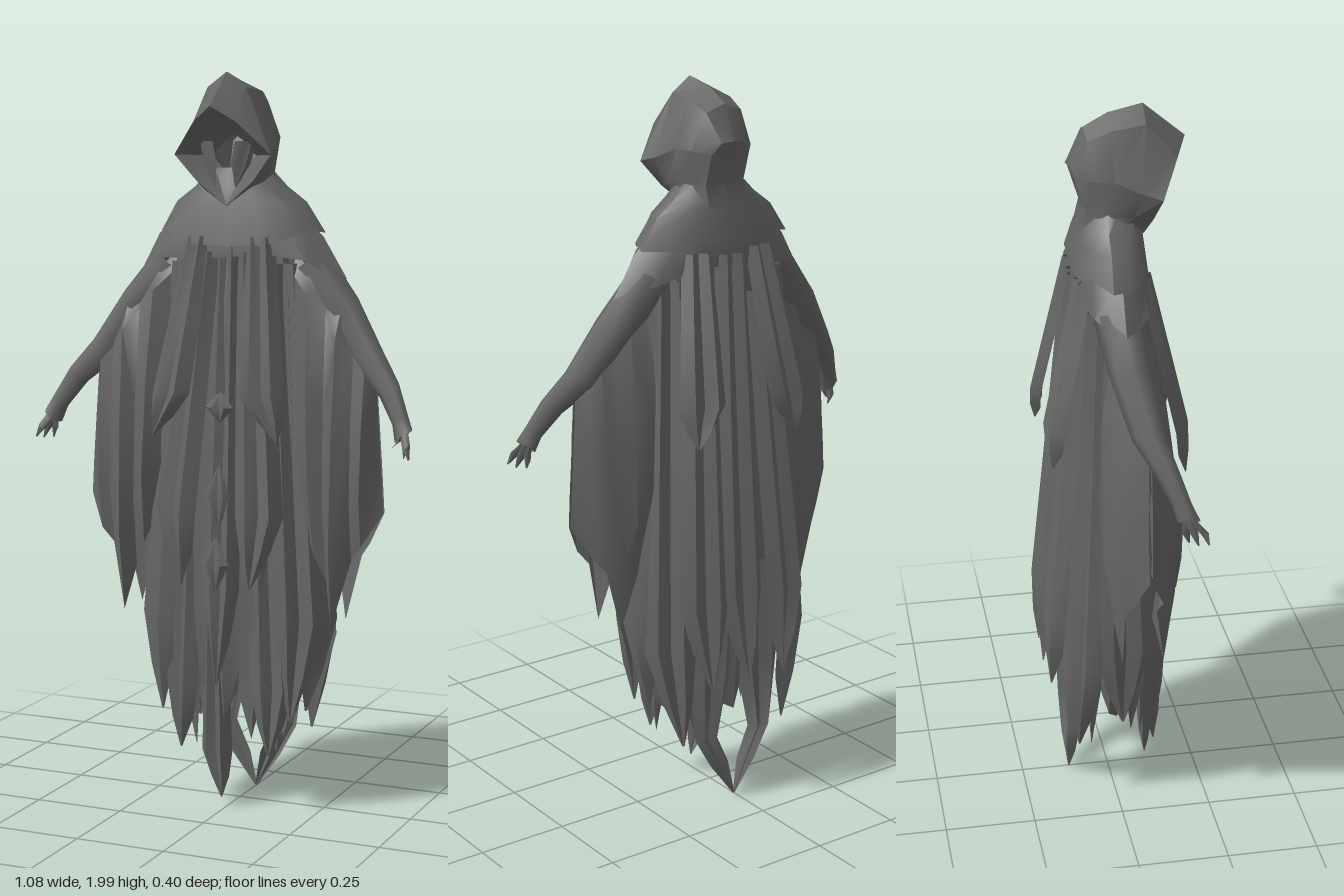
import * as THREE from 'three';
import { toCreasedNormals } from 'three/addons/utils/BufferGeometryUtils.js';

const cloth = new THREE.MeshStandardMaterial({ color: 0x666666, side: THREE.DoubleSide });
cloth.name = 'charcoal cloth';
const { lerp } = THREE.MathUtils;

// Surface through rows of [x, y, z] points; closed joins each row's ends
function sheet(rows, closed = false, crease = 0.7) {
  const n = rows[0].length, index = [];
  for (let r = 0; r < rows.length - 1; r++) {
    for (let c = 0; c < (closed ? n : n - 1); c++) {
      const a = r * n + c, b = r * n + (c + 1) % n;
      index.push(a, a + n, b, b, a + n, b + n);
    }
  }
  const g = new THREE.BufferGeometry();
  g.setAttribute('position', new THREE.Float32BufferAttribute(rows.flat(2), 3));
  g.setIndex(index);
  return toCreasedNormals(g, crease);
}

// Hanging cloth: path of [x, y, z, halfWidth], pleated across, turned by yaw
function panel(path, yaw = 0, fold = 0.018) {
  const pleat = [-1, 0.5, -0.3, 0.7, -1];
  return sheet(path.map(([x, y, z, w]) => pleat.map((p, i) => {
    const u = (i / 2 - 1) * w, d = p * fold * Math.min(1, w / 0.04);
    return [x + u * Math.cos(yaw) + d * Math.sin(yaw), y, z - u * Math.sin(yaw) + d * Math.cos(yaw)];
  })));
}

// Strip that widens as it falls, then narrows to a torn tip
function strip(xTop, xLow, xTip, yTop, yTip, zTop, zLow, w, yaw) {
  const at = (t, width) => {
    const k = Math.min(1, t / 0.78), end = Math.max(0, (t - 0.78) / 0.22);
    return [lerp(lerp(xTop, xLow, k), xTip, end), lerp(yTop, yTip, t), lerp(zTop, zLow, k), w * width];
  };
  return panel([at(0, 0.65), at(0.4, 0.85), at(0.78, 1), at(0.9, 0.6), at(1, 0.05)], yaw);
}

// Elliptical rings [y, rx, rz, pleat]; hem(angle, i) shifts the last ring in y
function rings(list, n, hem) {
  return sheet(list.map(([y, rx, rz, pleat], r) => Array.from({ length: n }, (_, i) => {
    const a = (i / n) * Math.PI * 2, k = 1 + (i % 2 ? -pleat : pleat);
    const dy = r === list.length - 1 ? hem(a, i) : 0;
    return [Math.sin(a) * rx * k, y + dy, Math.cos(a) * rz * k];
  })), true);
}

// Limb with elliptical sections along [x, y, z, r], on side s
function limb(s, path, n = 7) {
  return sheet(path.map(([x, y, z, r]) => Array.from({ length: n }, (_, i) => {
    const a = (i / n) * Math.PI * 2;
    return [s * (x + Math.cos(a) * r * 0.75), y + Math.cos(a) * r * 0.6, z + Math.sin(a) * r];
  })), true, 1.2);
}

// Hood from half sections, each running from crown to neck
function hoodGeometry() {
  const rim = [[0, 1.91, 0.2], [0.06, 1.87, 0.17], [0.138, 1.785, 0.12], [0.08, 1.715, 0.105], [0, 1.65, 0.095]];
  const back = [[0, 1.855, -0.105], [0.035, 1.85, -0.1], [0.06, 1.82, -0.09], [0.06, 1.74, -0.065], [0.06, 1.68, -0.08]];
  const inset = (k, pull) => rim.map(([x, y, z]) => [x * k, lerp(1.78, y, k), lerp(0.04, z, pull)]);
  const halves = [
    inset(0.45, 0), inset(0.78, 0.7), rim,
    [[0, 2.0, 0.09], [0.055, 1.96, 0.09], [0.125, 1.8, 0.07], [0.1, 1.73, 0.05], [0.07, 1.68, 0.05]],
    [[0, 1.98, 0], [0.065, 1.95, 0], [0.11, 1.83, 0], [0.1, 1.74, 0], [0.1, 1.68, 0]],
    [[0, 1.945, -0.065], [0.055, 1.925, -0.06], [0.095, 1.83, -0.05], [0.08, 1.74, -0.04], [0.09, 1.68, -0.05]],
    back, back.map(([, y, z]) => [0, y, z - 0.005]),
  ];
  return sheet(halves.map(h => [...h.slice(1).reverse().map(([x, y, z]) => [-x, y, z]), ...h]), false, 0.55);
}

export function createModel() {
  const model = new THREE.Group();
  const add = (name, geometry, parent = model) => {
    const m = new THREE.Mesh(geometry, cloth);
    m.name = name;
    parent.add(m);
  };

  add('hood', hoodGeometry());
  for (const s of [-1, 1]) {
    add('hoodLiningTatter', panel([[s * 0.06, 1.82, 0.1, 0.03], [s * 0.045, 1.76, 0.1, 0.025], [s * 0.03, 1.7, 0.1, 0.002]], s * 0.5, 0.006));
  }

  // Two-layer shoulder cape
  add('upperCape', rings([
    [1.75, 0.085, 0.065, 0], [1.7, 0.13, 0.08, 0.03], [1.66, 0.185, 0.09, 0.02], [1.58, 0.235, 0.105, 0.03],
  ], 14, (a, i) => -0.05 * Math.max(0, Math.cos(a)) ** 4 + (i % 3 ? 0 : 0.015)));
  add('lowerCape', rings([
    [1.64, 0.17, 0.08, 0], [1.57, 0.235, 0.095, 0.02], [1.46, 0.295, 0.095, 0.04],
  ], 16, (a, i) => 0.07 * Math.abs(Math.cos(a)) + (i % 3 ? 0 : -0.015)));

  // Pleated robe core with a ragged hem
  const ragged = [0, 0.07, -0.06, 0.05, -0.1, 0.08, 0.02];
  add('robe', rings([
    [1.6, 0.16, 0.075, 0.03], [1.4, 0.2, 0.095, 0.06], [1.1, 0.215, 0.11, 0.08], [0.8, 0.23, 0.12, 0.08],
    [0.55, 0.235, 0.12, 0.08], [0.4, 0.2, 0.115, 0.08], [0.27, 0.165, 0.105, 0.06],
  ], 28, (a, i) => ragged[i % 7]));

  for (const s of [-1, 1]) {
    // Layered strips, front to back
    const hang = (name, xTop, xLow, xTip, yTop, yTip, zTop, zLow, w, yaw) =>
      add(name, strip(s * xTop, s * xLow, s * xTip, yTop, yTip, zTop, zLow, w, s * yaw));
    hang('frontUpperFlap', 0.09, 0.135, 0.18, 1.57, 1.04, 0.085, 0.18, 0.06, 0.2);
    hang('frontMiddleStrip', 0.07, 0.125, 0.1, 1.53, 0.64, 0.085, 0.175, 0.065, 0.2);
    hang('frontOuterStrip', 0.15, 0.215, 0.19, 1.5, 0.27, 0.06, 0.1, 0.07, 0.5);
    hang('frontLowerStrip', 0.11, 0.14, 0.13, 1.0, 0.17, 0.1, 0.11, 0.06, 0.3);
    hang('sideStrip', 0.2, 0.255, 0.2, 1.45, 0.28, 0, 0.01, 0.08, 1.4);
    hang('backOuterStrip', 0.17, 0.21, 0.17, 1.5, 0.2, -0.06, -0.11, 0.07, 2.6);
    hang('backMiddleStrip', 0.1, 0.14, 0.12, 1.45, 0.38, -0.1, -0.18, 0.07, 2.95);
    hang('backUpperFlap', 0.1, 0.14, 0.16, 1.57, 1.07, -0.09, -0.175, 0.065, 2.95);
    add('tailFork', panel([
      [s * 0.07, 0.7, -0.13, 0.07], [s * 0.08, 0.4, -0.125, 0.07], [s * 0.09, 0.2, -0.12, 0.035],
      [s * 0.045, 0.11, -0.12, 0.03], [0, 0.01, -0.115, 0.003],
    ], s * Math.PI));
  }

  // Centre strips, scraps and the front spike
  add('frontCentreStrip', strip(0, 0.01, 0, 1.57, 0.37, 0.085, 0.165, 0.05, 0));
  add('backCentreStrip', strip(0, 0.02, 0, 1.56, 0.38, -0.1, -0.185, 0.07, Math.PI));
  add('frontSpike', strip(-0.03, -0.03, -0.01, 0.6, 0.04, 0.11, 0.108, 0.045, 0));
  for (const [y, h, z] of [[1.12, 0.04, 0.15], [0.88, 0.08, 0.16], [0.7, 0.07, 0.18]]) {
    add('clothScrap', panel([[0, y + h, z - 0.015, 0.004], [0, y, z, 0.04], [0, y - h, z - 0.01, 0.004]], 0, 0.01));
  }

  // Arms, clawed hands and draped sleeves
  for (const s of [-1, 1]) {
    const side = new THREE.Group();
    side.name = s > 0 ? 'leftArm' : 'rightArm';
    model.add(side);
    add('arm', limb(s, [
      [0.2, 1.5, -0.01, 0.06], [0.3, 1.38, 0.01, 0.055], [0.39, 1.25, 0.04, 0.045],
      [0.455, 1.18, 0.075, 0.033], [0.495, 1.11, 0.105, 0.026], [0.51, 1.07, 0.12, 0.03],
    ]), side);
    [[0.54, 1.015, 0.165], [0.53, 1.01, 0.14], [0.51, 1.01, 0.12], [0.485, 1.04, 0.14]].forEach(([x, y, z], i) => {
      add('finger', limb(s, [
        [0.505, 1.09, 0.105 + i * 0.006, 0.014], [(x + 0.515) / 2, (y + 1.07) / 2, z - 0.01, 0.011], [x, y, z, 0.002],
      ], 5), side);
    });
    // Sleeve columns: [x top, y top, x bottom, y bottom, z middle, half thickness]
    const columns = [
      [0.17, 1.53, 0.21, 0.82, 0.01, 0.07], [0.22, 1.48, 0.25, 0.73, 0.03, 0.085], [0.27, 1.43, 0.28, 0.66, 0.02, 0.075],
      [0.31, 1.38, 0.305, 0.54, 0.045, 0.08], [0.35, 1.32, 0.35, 0.72, 0.03, 0.06], [0.385, 1.26, 0.38, 0.76, 0.045, 0.055],
      [0.405, 1.22, 0.43, 0.85, 0.04, 0.005],
    ];
    const bulge = [[0, 0.15], [0.08, 0.6], [0.4, 0.95], [0.75, 1.05], [1, 0.7]];
    for (const f of [1, -1]) {
      add(f > 0 ? 'sleeveFront' : 'sleeveBack', sheet(columns.map(([xt, yt, xb, yb, z, t]) =>
        bulge.map(([v, b]) => [s * lerp(xt, xb, v), lerp(yt, yb, v), z + f * t * b]))), side);
    }
  }
  return model;
}
